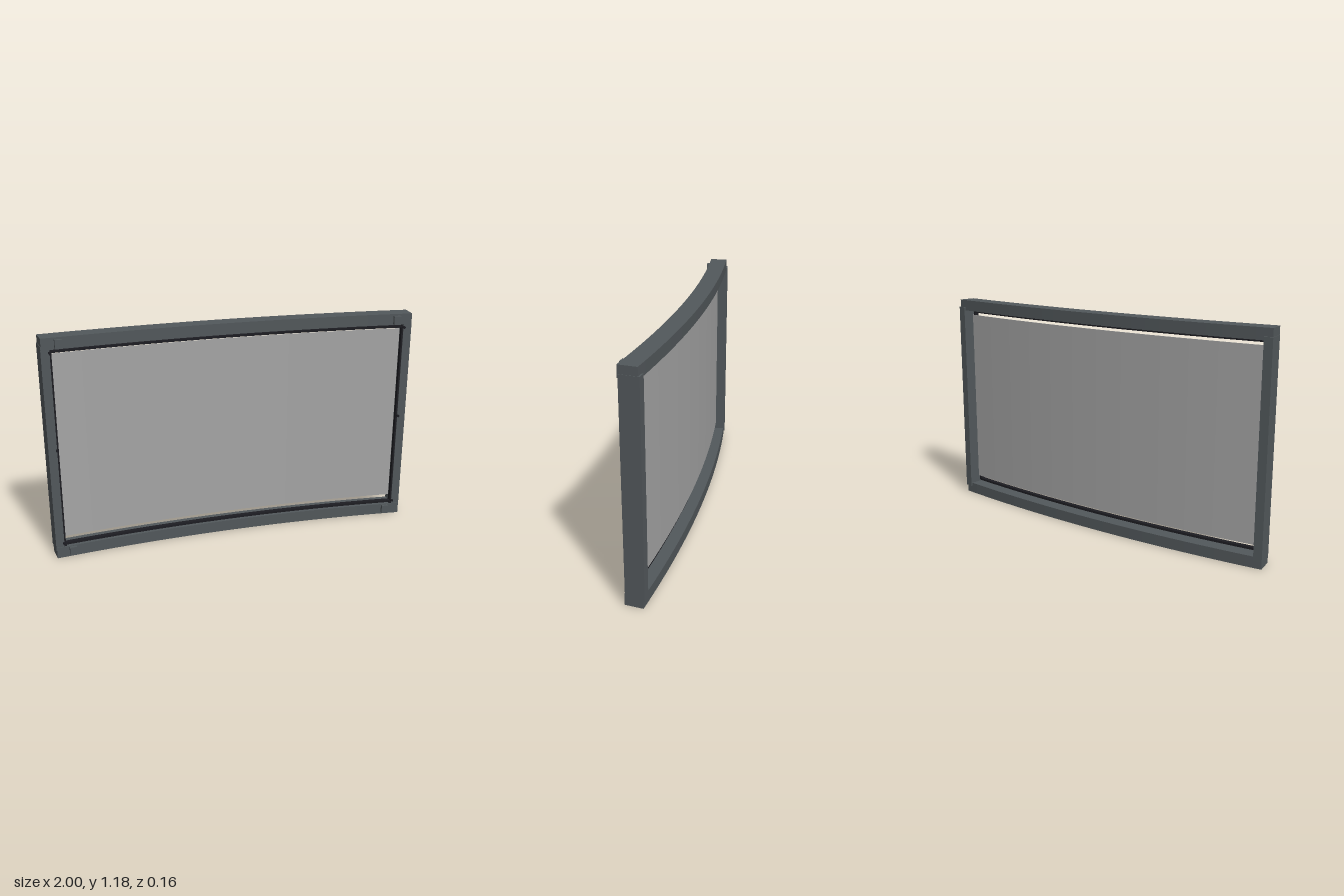
import * as THREE from 'three';

const CENTRE_Z = 8.293; // centre of curvature, in front of the frame
const HEIGHT = 1.185;

export function createModel() {
  const model = new THREE.Group();
  const material = (name, color) => {
    const m = new THREE.MeshStandardMaterial({ color });
    m.name = name;
    return m;
  };
  const frameGrey = material('frame grey', 0x52585b);
  const trimBlack = material('trim black', 0x1d1d22);
  const screenGrey = material('screen grey', 0xa5a5a5);

  // A solid ring sector standing between two heights
  function arcPart(name, mat, rFront, rBack, a0, a1, y0, y1, steps) {
    const points = [];
    const add = (r, a) => points.push(new THREE.Vector2(r * Math.sin(a), r * Math.cos(a) - CENTRE_Z));
    for (let i = 0; i <= steps; i++) add(rFront, a0 + (a1 - a0) * i / steps);
    for (let i = steps; i >= 0; i--) add(rBack, a0 + (a1 - a0) * i / steps);
    const geo = new THREE.ExtrudeGeometry(new THREE.Shape(points), { depth: y1 - y0, bevelEnabled: false });
    geo.rotateX(-Math.PI / 2);
    geo.translate(0, y0, 0);
    const mesh = new THREE.Mesh(geo, mat);
    mesh.name = name;
    model.add(mesh);
  }

  // Curved screen, floating in the middle of the frame depth
  arcPart('screen', screenGrey, 8.325, 8.329, -0.1132, 0.1132, 0.1, 1.095, 24);

  // Top and bottom rails with their trim strips and corner clips
  for (const top of [false, true]) {
    const label = top ? 'top' : 'bottom';
    const span = (a, b) => (top ? [HEIGHT - b, HEIGHT - a] : [a, b]);
    arcPart(label + 'Rail', frameGrey, 8.282, 8.377, -0.119, 0.119, ...span(0, 0.06), 24);
    arcPart(label + 'Trim', trimBlack, 8.29, 8.315, -0.1136, 0.1136, ...span(0.066, 0.078), 24);
    for (const s of [-1, 1]) {
      const a = s * 0.1088;
      arcPart(label + 'Clip', frameGrey, 8.265, 8.285, a - 0.0023, a + 0.0023, ...span(0.01, 0.056), 1);
      arcPart(label + 'TrimJoint', trimBlack, 8.287, 8.3, s * 0.1132 - 0.0008, s * 0.1132 + 0.0008, ...span(0.058, 0.072), 1);
    }
  }

  // Side posts, inner trim and small fixing knobs
  for (const s of [-1, 1]) {
    const range = (a, b) => (s > 0 ? [a, b] : [-b, -a]);
    arcPart('sidePost', frameGrey, 8.286, 8.385, ...range(0.114, 0.1193), 0.042, 1.143, 1);
    arcPart('sideTrim', trimBlack, 8.29, 8.315, ...range(0.1129, 0.1141), 0.066, HEIGHT - 0.066, 1);
    for (const y of [0.08, 0.603, 1.11]) {
      const knob = new THREE.Mesh(new THREE.CylinderGeometry(0.007, 0.007, 0.012, 10), trimBlack);
      knob.name = 'fixingKnob';
      knob.rotation.x = Math.PI / 2;
      knob.position.set(s * 0.943, y, 0.067);
      model.add(knob);
    }
  }
  return model;
}
